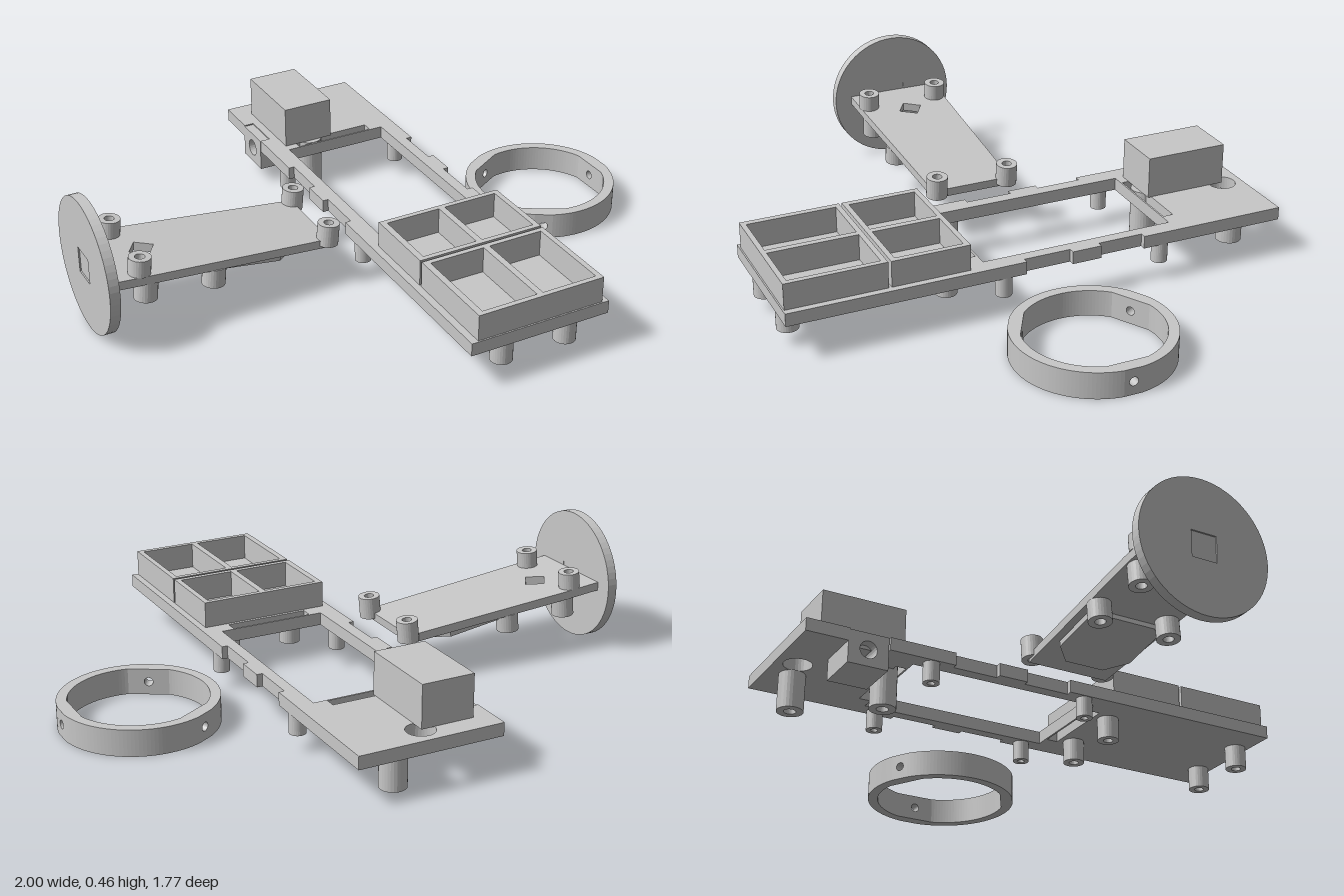
import * as THREE from 'three';

const grey = new THREE.MeshStandardMaterial({ color: 0xc8c8c8 });
grey.name = 'plain grey';

function add(parent, name, geo, x = 0, y = 0, z = 0) {
  const m = new THREE.Mesh(geo, grey);
  m.name = name;
  m.position.set(x, y, z);
  parent.add(m);
  return m;
}

// Points are [x, z], listed from +x towards +z; the slab is extruded upwards from y = 0
const path = (pts, C = THREE.Shape) => new C(pts.map(([x, z]) => new THREE.Vector2(x, -z)).reverse());
const rect = (x0, x1, z0, z1) => [[x0, z0], [x1, z0], [x1, z1], [x0, z1]];
const circle = (x, z, r, n = 32) => Array.from({ length: n }, (_, i) => {
  const a = (i / n) * Math.PI * 2;
  return [x + r * Math.cos(a), z + r * Math.sin(a)];
});
function slab(outline, holes, h) {
  const s = path(outline);
  holes.forEach((p) => s.holes.push(path(p, THREE.Path)));
  const g = new THREE.ExtrudeGeometry(s, { depth: h, bevelEnabled: false });
  return g.rotateX(-Math.PI / 2);
}

// Hollow standoff from y0 to y1
function standoff(parent, name, x, z, r, y0, y1) {
  return add(parent, name, slab(circle(0, 0, r, 28), [circle(0, 0, r * 0.45, 20)], y1 - y0), x, y0, z);
}

function mainFrame() {
  const g = new THREE.Group();
  g.name = 'mainFrame';
  // Base plate with notched rails, a large window and a cutout for the socket
  const right = [], left = [];
  [[-0.36, -0.2], [-0.095, 0.07]].forEach(([a, b]) => {
    right.push([0.402, a], [0.382, a], [0.382, b], [0.402, b]);
    left.unshift([-0.1, b], [-0.08, b], [-0.08, a], [-0.1, a]);
  });
  left.push([-0.1, -0.595], [-0.065, -0.595], [-0.065, -0.735], [-0.1, -0.735]);
  const outline = [[-0.1, -0.885], [0.402, -0.885], ...right, [0.402, 0.885], [-0.1, 0.885], ...left];
  add(g, 'basePlate', slab(outline, [
    rect(-0.037, 0.343, -0.485, 0.199),
    rect(0.005, 0.297, -0.527, -0.491),
    rect(0.005, 0.297, 0.206, 0.246),
    circle(0.15, -0.81, 0.048),
  ], 0.045), 0, 0.13, 0);

  // Two trays with two compartments each
  [[0.257, 0.527], [0.537, 0.88]].forEach(([z0, z1]) => {
    add(g, 'tray', slab(rect(-0.075, 0.379, z0, z1), [
      rect(-0.053, 0.143, z0 + 0.018, z1 - 0.018),
      rect(0.165, 0.36, z0 + 0.018, z1 - 0.018),
    ], 0.092), 0, 0.174, 0);
  });

  // Housing above and socket below the rear of the plate
  add(g, 'housing', new THREE.BoxGeometry(0.183, 0.147, 0.295), 0.0555, 0.2475, -0.663);
  const socket = new THREE.Shape([[-0.07, -0.058], [0.07, -0.058], [0.07, 0.058], [-0.07, 0.058]]
    .map(([a, b]) => new THREE.Vector2(a, b)));
  socket.holes.push(new THREE.Path().absarc(0, 0, 0.03, 0, Math.PI * 2, true));
  const sg = new THREE.ExtrudeGeometry(socket, { depth: 0.11, bevelEnabled: false });
  add(g, 'socket', sg.rotateY(Math.PI / 2), -0.1, 0.113, -0.67);
  add(g, 'socketBack', new THREE.BoxGeometry(0.055, 0.084, 0.14), 0.0375, 0.097, -0.67);

  // Standoffs
  for (const x of [0.037, 0.272])
    for (const z of [0.84, 0.3]) standoff(g, 'trayStandoff', x, z, 0.037, 0.05, 0.131);
  for (const x of [-0.07, 0.374])
    for (const z of [-0.435, 0.14]) standoff(g, 'railStandoff', x, z, 0.028, 0.06, 0.131);
  standoff(g, 'tallStandoff', 0.07, -0.54, 0.045, 0, 0.174);
  standoff(g, 'tallStandoff', 0.235, -0.795, 0.045, 0, 0.131);
  return g;
}

function mountingRing() {
  const g = new THREE.Group();
  g.name = 'mountingRing';
  g.position.set(0.733, 0, 0);
  const R = 0.267, r = 0.232, flat = 0.221, half = 0.12, h = 0.092, n = 40;
  const third = (Math.PI * 2) / 3;
  const inner = (a) => Math.min(r, flat / Math.cos(Math.min(a, third - a)));
  const p = (rad, a) => [rad * Math.cos(a), rad * Math.sin(a)];

  // Arc running from one lug to the next, thickened at its ends
  const pts = [];
  for (let i = 0; i <= n; i++) pts.push(p(R, half + ((third - 2 * half) * i) / n));
  for (let i = n; i >= 0; i--) {
    const a = half + ((third - 2 * half) * i) / n;
    pts.push(p(inner(a), a));
  }
  const arc = slab(pts, [], h);

  // Drilled lug, tapered radially to meet the arcs
  const w = R * Math.sin(half);
  const s = new THREE.Shape([[-w, 0], [w, 0], [w, h], [-w, h]].map(([a, b]) => new THREE.Vector2(a, b)));
  s.holes.push(new THREE.Path().absarc(0, h / 2, 0.015, 0, Math.PI * 2, true));
  const outer = R * Math.cos(half);
  const lug = new THREE.ExtrudeGeometry(s, { depth: outer - flat, bevelEnabled: false });
  lug.translate(0, 0, flat).rotateY(Math.PI / 2);
  const v = lug.attributes.position;
  for (let i = 0; i < v.count; i++)
    if (Math.abs(v.getZ(i)) > w * 0.9) v.setZ(i, (v.getZ(i) * v.getX(i)) / outer);
  lug.computeVertexNormals();

  for (let k = 0; k < 3; k++) {
    add(g, 'ringArc', arc).rotation.y = k * third;
    add(g, 'ringLug', lug).rotation.y = k * third;
  }
  return g;
}

function armAssembly() {
  const g = new THREE.Group();
  g.name = 'armAssembly';
  // Upright end disc with a square recess
  const disc = slab(circle(0, 0, 0.23, 64), [rect(-0.045, 0.045, -0.045, 0.045)], 0.035);
  add(g, 'endDisc', disc.rotateZ(-Math.PI / 2), -1, 0.232, 0);
  add(g, 'recessFloor', new THREE.BoxGeometry(0.029, 0.09, 0.09), -0.9805, 0.232, 0);

  // Sloping tapered arm
  const arm = new THREE.Group();
  arm.name = 'arm';
  arm.position.set(-0.585, 0.199, 0);
  arm.rotation.z = -0.092;
  g.add(arm);
  add(arm, 'armPlate', slab(
    [[-0.387, -0.168], [-0.24, -0.168], [0.387, -0.146], [0.387, 0.146], [-0.24, 0.165], [-0.387, 0.168]],
    [[[-0.227, -0.055], [-0.172, -0.02], [-0.21, 0.037], [-0.265, 0]]], 0.03), 0, -0.015, 0);
  for (const s of [-1, 1]) {
    standoff(arm, 'upperStandoff', -0.282, s * 0.133, 0.037, 0.014, 0.073);
    standoff(arm, 'tipStandoff', 0.385, s * 0.133, 0.037, -0.005, 0.071);
    standoff(arm, 'lowerStandoff', -0.255, s * 0.125, 0.039, -0.085, -0.014);
    standoff(arm, 'lowerStandoff', -0.02, s * 0.125, 0.039, -0.08, -0.014);
  }
  // Chamfered board slung under the arm
  const board = add(arm, 'underBoard', slab(
    [[-0.135, -0.13], [0.07, -0.13], [0.14, -0.07], [0.14, 0.07], [0.07, 0.13], [-0.135, 0.13]],
    [], 0.02), 0.145, -0.039, 0);
  board.rotation.z = -0.05;
  return g;
}

export function createModel() {
  const model = new THREE.Group();
  model.name = 'partsLayout';
  model.add(mainFrame(), mountingRing(), armAssembly());
  return model;
}
